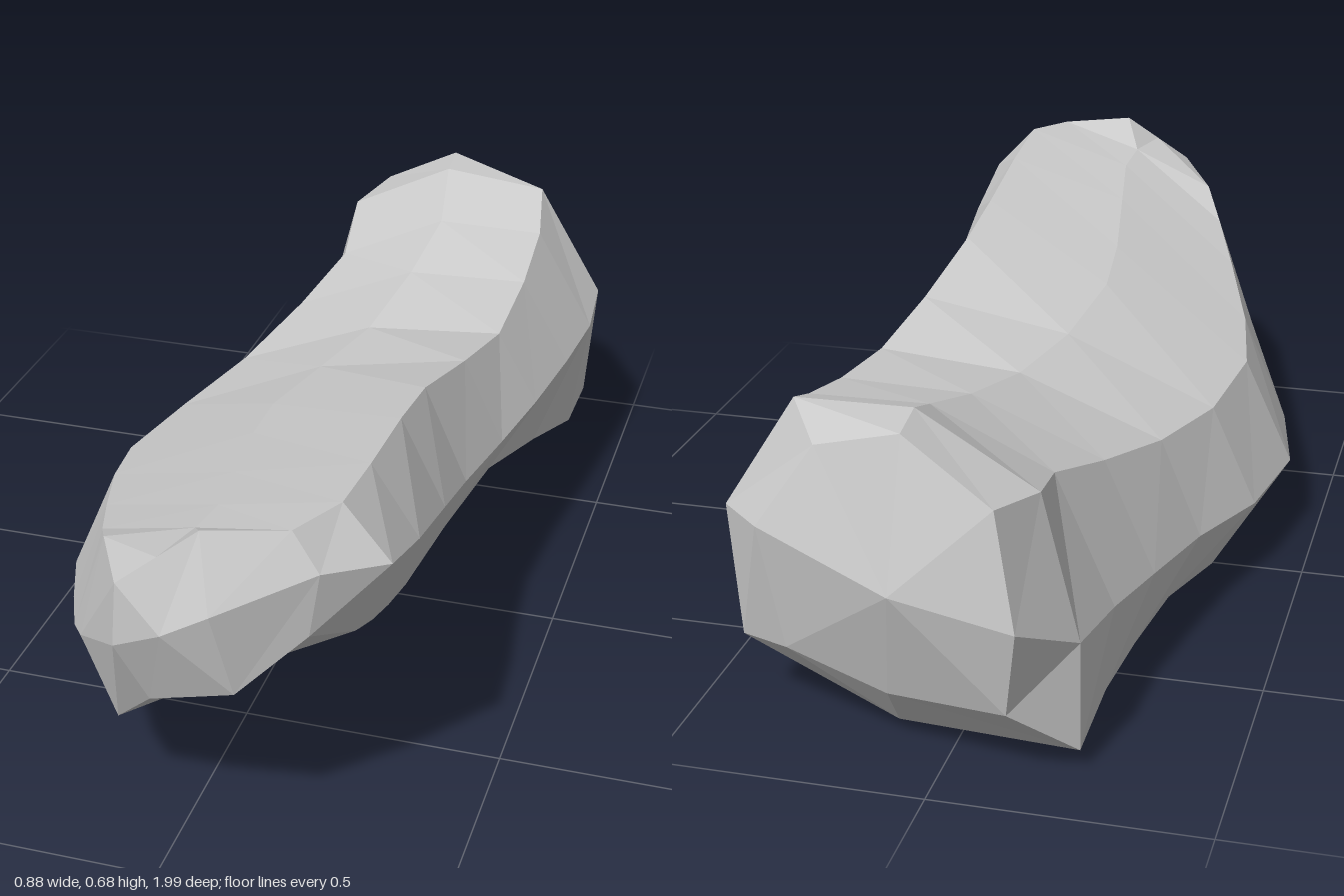
import * as THREE from 'three';

// z of each station from front to back, and how far z shifts with x there
const stationZ = [1.01, .85, .75, .2, -.25, -.65, -.82, -.97];
const stationTilt = [0, .2, .15, 0, 0, 0, .12, .25];

// [x, y] of each ridge at the stations, clockwise as seen from the front
const ridges = [
  // upper right
  [[.08, .68], [.22, .675], [.275, .68], [.265, .6], [.31, .512], [.31, .575], [.285, .625], [.22, .58]],
  // right side
  [[.11, .55], [.27, .605], [.365, .585], [.35, .41], [.395, .365], [.435, .365], [.43, .4], [.33, .42]],
  // lower right
  [[.135, .375], [.25, .48], [.3, .435], [.235, .155], [.3, .19], [.4, .12], [.41, .145], [.3, .17]],
  // lower left
  [[-.025, .32], [-.13, .19], [-.18, .145], [-.34, .005], [-.27, .04], [-.235, .05], [-.235, .04], [-.13, .15]],
  // left side
  [[-.065, .455], [-.2, .34], [-.255, .29], [-.44, .16], [-.33, .18], [-.25, .22], [-.235, .25], [-.16, .33]],
  // upper left
  [[-.055, .58], [-.14, .56], [-.185, .51], [-.34, .375], [-.25, .375], [-.14, .47], [-.165, .52], [-.12, .54]],
];

// Where the rings are cut; the long middle spans are subdivided
const cuts = [0, 1, 2, 2.35, 2.7, 3, 3.5, 4, 4.5, 5, 6, 7];

// The two end rings bow back above and below their middle height
function stationPoint([x, y], s) {
  let z = stationZ[s] + stationTilt[s] * x;
  if (s === 0) z -= 0.4 * Math.abs(y - 0.52);
  if (s === 7) z += 0.22 * Math.abs(y - 0.4);
  return new THREE.Vector3(x, y, z);
}

const curves = ridges.map(ridge =>
  new THREE.CatmullRomCurve3(ridge.map(stationPoint), false, 'catmullrom', 0.5));

function ringAt(s) {
  const ring = curves.map(curve => curve.getPoint(s / 7));
  // Top ridge: between the upper ridges, rising toward the back
  const top = ring[0].clone().lerp(ring[5], 0.5);
  top.y += 0.011 * s;
  // Underside ridge: between the lower ridges, sagging toward the back
  const underside = ring[2].clone().lerp(ring[3], 0.47);
  underside.y -= 0.088 * Math.exp(-(((s - 4.9) / 2) ** 2));
  ring.splice(3, 0, underside);
  ring.push(top);
  return ring;
}

function loftGeometry() {
  const rings = cuts.map(ringAt);
  const n = rings[0].length;
  const last = (rings.length - 1) * n;
  const points = rings.flat();
  const front = points.push(new THREE.Vector3(.025, .5, 1)) - 1;
  const back = points.push(new THREE.Vector3(.06, .37, -.99)) - 1;
  const index = [];

  for (let j = 0; j < n; j++) {
    const k = (j + 1) % n;
    // Facets along the body
    for (let i = 0; i < last; i += n) {
      index.push(i + j, i + k, i + n + j, i + k, i + n + k, i + n + j);
    }
    // Blunt ends
    index.push(front, k, j, back, last + j, last + k);
  }

  const geometry = new THREE.BufferGeometry().setFromPoints(points);
  geometry.setIndex(index);
  geometry.computeVertexNormals();
  return geometry;
}

export function createModel() {
  const group = new THREE.Group();
  group.name = 'facetedRock';
  const body = new THREE.Mesh(loftGeometry(),
    new THREE.MeshStandardMaterial({ color: 0xcccccc, flatShading: true }));
  body.name = 'rockBody';
  group.add(body);
  return group;
}
